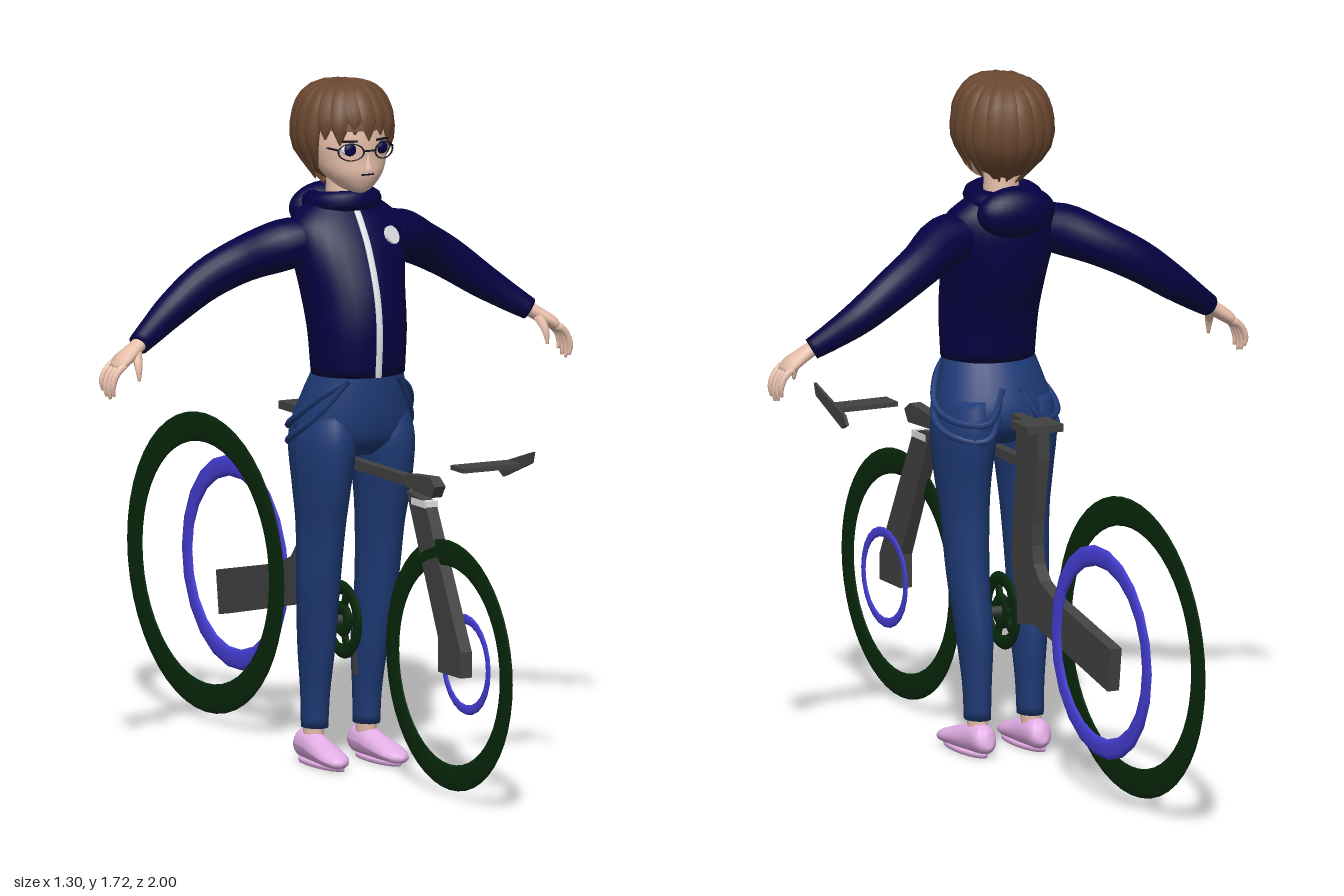
import * as THREE from 'three';

const mat = (name, color) => Object.assign(new THREE.MeshStandardMaterial({ color }), { name });
const V = (x, y, z) => new THREE.Vector3(x, y, z);
const Z = V(0, 0, 1);

// Smooth tube through sections [x, y, z, radiusAcross, radiusDeep]; level keeps the rings horizontal
function loft(secs, { sides = 20, steps = 4, level = false } = {}) {
  const path = new THREE.CatmullRomCurve3(secs.map(s => V(s[0], s[1], s[2])), false, 'catmullrom', 0.5);
  const size = new THREE.CatmullRomCurve3(secs.map(s => V(s[3], s[4] ?? s[3], 0)), false, 'catmullrom', 0.5);
  const n = (secs.length - 1) * steps, pos = [], idx = [], w = sides + 1;
  const up = Math.sign(secs[secs.length - 1][1] - secs[0][1]);
  const ring = (p, v, u, a, b) => {
    for (let j = 0; j <= sides; j++) {
      const th = j / sides * Math.PI * 2;
      const q = p.clone().addScaledVector(v, a * Math.cos(th)).addScaledVector(u, b * Math.sin(th));
      pos.push(q.x, q.y, q.z);
    }
  };
  for (let i = 0; i <= n; i++) {
    const p = path.getPoint(i / n), r = size.getPoint(i / n);
    const t = level ? V(0, up, 0) : path.getTangent(i / n);
    const v = t.clone().cross(Z).normalize(), u = v.clone().cross(t);
    const a = Math.max(r.x, 0.001), b = Math.max(r.y, 0.001);
    if (i === 0) ring(p, v, u, 0, 0);
    ring(p, v, u, a, b);
    if (i === n) ring(p, v, u, 0, 0);
  }
  for (let i = 0; i < n + 2; i++) for (let j = 0; j < sides; j++) {
    const a = i * w + j;
    idx.push(a, a + w, a + 1, a + 1, a + w, a + w + 1);
  }
  const g = new THREE.BufferGeometry();
  g.setAttribute('position', new THREE.Float32BufferAttribute(pos, 3));
  g.setIndex(idx);
  g.computeVertexNormals();
  return g;
}

// Side outline [z, y] given a width in x
function plate(pts, width, cx = 0) {
  const g = new THREE.ExtrudeGeometry(new THREE.Shape(pts.map(p => new THREE.Vector2(...p))), { depth: width, bevelEnabled: false });
  return g.rotateY(-Math.PI / 2).translate(cx + width / 2, 0, 0);
}

// Flattened ring facing sideways; squash lowers its height
const wheel = (outer, inner, thick, x, y, z, squash = 1, segs = 48, sides = 10) =>
  new THREE.TorusGeometry((outer + inner) / 2, (outer - inner) / 2, sides, segs)
    .scale(1, squash, thick / (outer - inner)).rotateY(Math.PI / 2).translate(x, y, z);

const ball = (x, y, z, rx, ry, rz) => new THREE.SphereGeometry(1, 24, 16).scale(rx, ry, rz).translate(x, y, z);

export function createModel() {
  const M = {
    jacket: mat('navy jacket', 0x040142), pants: mat('denim blue', 0x1e3a76), hair: mat('brown hair', 0x6b4830),
    skin: mat('skin', 0xe8c0ac), shoe: mat('pink shoe', 0xe3aee6), frame: mat('grey frame', 0x424242),
    tyre: mat('dark green tyre', 0x08290b), rim: mat('blue rim', 0x4840dc), white: mat('white trim', 0xe4e4ea),
    dark: mat('dark detail', 0x17141f),
  };
  const model = new THREE.Group(), rider = new THREE.Group(), bike = new THREE.Group();
  rider.name = 'rider'; bike.name = 'bicycle';
  model.add(rider, bike);
  const add = (group, name, geo, m) => {
    const mesh = new THREE.Mesh(geo, m);
    mesh.name = name;
    group.add(mesh);
    return mesh;
  };

  // Wheels and loose rims
  add(bike, 'frontTyre', wheel(0.33, 0.262, 0.009, -0.012, 0.329, 0.67, 0.95), M.tyre);
  add(bike, 'rearTyre', wheel(0.41, 0.33, 0.006, -0.02, 0.396, -0.585, 0.915), M.tyre);
  add(bike, 'frontRim', wheel(0.129, 0.104, 0.007, 0.037, 0.326, 0.665, 0.98, 24, 6), M.rim);
  add(bike, 'rearRim', wheel(0.278, 0.224, 0.012, 0.06, 0.39, -0.58, 0.965, 22, 6), M.rim);

  // Frame
  add(bike, 'fork', plate([[0.735, 0.305], [0.618, 0.305], [0.618, 0.39], [0.452, 0.735], [0.548, 0.72], [0.735, 0.37]], 0.032), M.frame);
  add(bike, 'forkCap', plate([[0.555, 0.705], [0.48, 0.705], [0.48, 0.722], [0.555, 0.722]], 0.036), M.white);
  add(bike, 'headTube', plate([[0.6, 0.765], [0.58, 0.735], [0.45, 0.742], [0.45, 0.775], [0.57, 0.785]], 0.03), M.frame);
  add(bike, 'topBar', plate([[0.47, 0.745], [-0.06, 0.745], [-0.06, 0.77], [0.47, 0.77]], 0.026), M.frame);
  add(bike, 'seatPostAndStay', plate([[-0.02, 0.86], [-0.02, 0.74], [0.0, 0.6], [0.006, 0.53], [0.0, 0.47], [-0.025, 0.42], [-0.065, 0.385],
    [-0.13, 0.36], [-0.525, 0.275], [-0.54, 0.385], [-0.22, 0.45], [-0.15, 0.478], [-0.118, 0.515], [-0.108, 0.56], [-0.112, 0.62],
    [-0.14, 0.78], [-0.14, 0.86]], 0.032), M.frame);
  add(bike, 'bottomBracketArm', plate([[-0.02, 0.345], [-0.14, 0.365], [-0.1, 0.42], [-0.02, 0.425]], 0.028), M.frame);
  add(bike, 'saddle', plate([[0.01, 0.858], [-0.15, 0.858], [-0.15, 0.872], [0.01, 0.872]], 0.03), M.frame);
  add(bike, 'saddleBack', plate([[-0.06, 0.852], [-0.15, 0.852], [-0.15, 0.872], [-0.06, 0.872]], 0.1), M.frame);

  // Detached handlebar stub and its grip
  add(bike, 'handlebar', new THREE.BoxGeometry(0.165, 0.012, 0.065).translate(0.152, 0.797, 0.558), M.frame);
  add(bike, 'grip', plate([[0.655, 0.842], [0.645, 0.812], [0.5, 0.757], [0.475, 0.77], [0.49, 0.792]], 0.008, 0.234), M.frame);

  // Chainring and crank
  add(bike, 'chainring', wheel(0.098, 0.062, 0.016, 0.0, 0.355, 0.09, 1, 32, 8), M.tyre);
  add(bike, 'chainringHub', wheel(0.046, 0.012, 0.02, 0.0, 0.355, 0.09, 1, 20, 6), M.tyre);
  for (let i = 0; i < 5; i++)
    add(bike, 'chainringSpoke', new THREE.BoxGeometry(0.01, 0.055, 0.02).translate(0, 0.05, 0)
      .rotateX(i * Math.PI * 0.4 + 0.3).translate(0, 0.355, 0.09), M.tyre);
  add(bike, 'crankAxle', new THREE.CylinderGeometry(0.012, 0.012, 0.076, 12).rotateZ(Math.PI / 2).translate(0.002, 0.355, 0.09), M.frame);
  add(bike, 'crankArm', new THREE.BoxGeometry(0.008, 0.15, 0.02).translate(0.038, 0.288, 0.09), M.frame);

  // Jacket body, zip and badge
  const torso = [[0, 0.99, 0.17, 0.119, 0.108], [0, 1.1, 0.165, 0.125, 0.12], [0, 1.2, 0.14, 0.132, 0.13], [0, 1.3, 0.115, 0.15, 0.115],
    [0, 1.36, 0.1, 0.148, 0.092], [0, 1.4, 0.09, 0.108, 0.07], [0, 1.425, 0.085, 0.065, 0.055]];
  add(rider, 'jacketBody', loft(torso, { sides: 28, level: true }), M.jacket);
  add(rider, 'zip', loft(torso.map(([x, y, z, , d]) => [x, y, z + d, 0.009, 0.003]), { sides: 8, level: true }), M.white);
  const badge = add(rider, 'badge', new THREE.CylinderGeometry(0.024, 0.024, 0.008, 12), M.white);
  badge.position.set(0.08, 1.33, 0.199);
  badge.quaternion.setFromUnitVectors(V(0, 1, 0), V(3.5, 4, 7.7).normalize());
  add(rider, 'collar', new THREE.TorusGeometry(0.074, 0.026, 10, 28).rotateX(Math.PI / 2 - 0.1).translate(0, 1.41, 0.085), M.jacket);
  add(rider, 'hood', ball(0, 1.382, 0.012, 0.105, 0.065, 0.053), M.jacket);

  // Pelvis
  add(rider, 'trouserSeat', loft([[0, 1.01, 0.17, 0.112, 0.095], [0, 0.94, 0.152, 0.134, 0.115], [0, 0.87, 0.137, 0.152, 0.125],
    [0, 0.82, 0.135, 0.14, 0.11], [0, 0.785, 0.135, 0.07, 0.07]], { sides: 28, level: true }), M.pants);

  for (const s of [1, -1]) {
    const side = s > 0 ? 'left' : 'right';
    const mirror = pts => pts.map(p => [s * p[0], ...p.slice(1)]);
    // Leg
    add(rider, side + 'Leg', loft(mirror([[0.078, 0.9, 0.135, 0.06, 0.1], [0.082, 0.82, 0.137, 0.074, 0.117], [0.085, 0.7, 0.138, 0.064, 0.098],
      [0.083, 0.6, 0.13, 0.056, 0.079], [0.082, 0.45, 0.115, 0.05, 0.068], [0.075, 0.3, 0.093, 0.042, 0.063],
      [0.073, 0.18, 0.083, 0.034, 0.047], [0.073, 0.09, 0.08, 0.032, 0.04]]), { level: true }), M.pants);
    add(rider, side + 'Ankle', loft([[s * 0.075, 0.04, 0.075, 0.024, 0.03], [s * 0.073, 0.11, 0.078, 0.025, 0.031]], { level: true }), M.skin);
    // Shoe, lofted heel to toe and laid flat, on its sole
    add(rider, side + 'Shoe', loft([[0.076, 0.05, 0.012, 0.012, 0.02], [0.076, 0.045, 0.03, 0.03, 0.036], [0.077, 0.043, 0.08, 0.034, 0.038],
      [0.08, 0.034, 0.14, 0.037, 0.03], [0.083, 0.026, 0.2, 0.037, 0.021], [0.085, 0.02, 0.235, 0.024, 0.014], [0.085, 0.018, 0.247, 0.004, 0.004]]
      .map(([x, y, z, a, b]) => [s * x, -z, y, a, b])).rotateX(-Math.PI / 2), M.shoe);
    add(rider, side + 'Sole', loft([[0, 0, 0, 0.031, 0.105], [0, 0.012, 0, 0.032, 0.108]], { steps: 1, level: true }).translate(s * 0.08, 0, 0.13), M.shoe);
    // Hanging braces, high in front and low behind
    for (const drop of [0, 0.04]) {
      const path = new THREE.CatmullRomCurve3([V(s * 0.07, 0.985, 0.25), V(s * 0.125, 0.94 - drop, 0.205), V(s * 0.16, 0.88 - drop, 0.135),
        V(s * 0.135, 0.85 - drop, 0.06), V(s * 0.07, 0.85 - drop, 0.018), V(s * 0.025, 0.93, 0.037)]);
      add(rider, side + 'Brace', new THREE.TubeGeometry(path, 28, 0.009, 6), M.pants);
    }
    // Sleeve
    add(rider, side + 'Sleeve', loft(mirror([[0.07, 1.325, 0.1, 0.05, 0.06], [0.16, 1.309, 0.085, 0.064, 0.064], [0.25, 1.271, 0.035, 0.057, 0.053],
      [0.34, 1.223, 0.01, 0.052, 0.046], [0.43, 1.162, 0.01, 0.044, 0.041], [0.5, 1.115, 0.028, 0.035, 0.032], [0.55, 1.083, 0.045, 0.028, 0.026]])), M.jacket);
    // Hand with fingers and thumb
    add(rider, side + 'Palm', loft(mirror([[0.53, 1.097, 0.042, 0.018, 0.02], [0.565, 1.073, 0.05, 0.018, 0.026], [0.6, 1.05, 0.055, 0.017, 0.036],
      [0.622, 1.03, 0.056, 0.01, 0.032]]), { sides: 14 }), M.skin);
    for (let i = 0; i < 4; i++) {
      const z = 0.028 + i * 0.019, len = [0.8, 0.95, 1, 0.9][i];
      add(rider, side + 'Finger', loft(mirror([[0.61, 1.042, z, 0.01], [0.633, 1.042 - 0.025 * len, z, 0.009],
        [0.643, 1.042 - 0.058 * len, z, 0.008], [0.64, 1.042 - 0.085 * len, z, 0.004]]), { sides: 8, steps: 3 }), M.skin);
    }
    add(rider, side + 'Thumb', loft(mirror([[0.565, 1.065, 0.065, 0.013], [0.572, 1.035, 0.088, 0.01], [0.574, 1.0, 0.095, 0.004]]), { sides: 8 }), M.skin);
    // Eye and brow
    add(rider, side + 'EyeWhite', ball(s * 0.044, 1.555, 0.207, 0.022, 0.014, 0.01), M.white);
    add(rider, side + 'Iris', ball(s * 0.044, 1.556, 0.212, 0.017, 0.016, 0.009), M.jacket);
    add(rider, side + 'Brow', new THREE.BoxGeometry(0.04, 0.005, 0.006).rotateY(s * 0.35).translate(s * 0.045, 1.577, 0.213), M.dark);
    // Glasses
    add(rider, side + 'LensFrame', new THREE.TorusGeometry(0.032, 0.0022, 6, 24).scale(1, 0.66, 1).rotateY(s * 0.35).translate(s * 0.046, 1.551, 0.221), M.dark);
    add(rider, side + 'GlassesArm', new THREE.BoxGeometry(0.004, 0.004, 0.12).rotateY(s * -0.14).translate(s * 0.086, 1.557, 0.15), M.dark);
  }
  add(rider, 'glassesBridge', new THREE.BoxGeometry(0.032, 0.004, 0.004).translate(0, 1.553, 0.231), M.dark);

  // Neck, face, nose and mouth
  add(rider, 'neck', new THREE.CylinderGeometry(0.042, 0.046, 0.12, 18).translate(0, 1.44, 0.095), M.skin);
  add(rider, 'face', loft([[0, 1.442, 0.175, 0.014, 0.018], [0, 1.455, 0.158, 0.042, 0.05], [0, 1.49, 0.138, 0.076, 0.084], [0, 1.53, 0.13, 0.09, 0.091],
    [0, 1.58, 0.122, 0.096, 0.1], [0, 1.64, 0.11, 0.088, 0.1], [0, 1.68, 0.1, 0.05, 0.06]], { sides: 28, level: true }), M.skin);
  add(rider, 'nose', new THREE.ConeGeometry(0.012, 0.04, 8).translate(0, 1.527, 0.226), M.skin);
  add(rider, 'mouth', new THREE.BoxGeometry(0.034, 0.004, 0.006).translate(0, 1.492, 0.22), M.dark);

  // Hair: rounded base covered with tapering locks from the crown
  add(rider, 'hairBase', ball(0, 1.583, 0.072, 0.112, 0.124, 0.115), M.hair);
  add(rider, 'hairTop', new THREE.SphereGeometry(1, 28, 10, 0, Math.PI * 2, 0, Math.PI * 0.46).scale(0.117, 0.122, 0.14).translate(0, 1.588, 0.095), M.hair);
  const locks = 20;
  for (let i = 0; i < locks; i++) {
    const th = i / locks * Math.PI * 2, front = Math.cos(th);
    const hem = (front > 0.55 ? 1.578 : front > -0.2 ? 1.49 : 1.452) + 0.016 * Math.sin(i * 2.4);
    const reach = Math.hypot(0.116 * Math.sin(th), 0.136 * front);
    // Each lock is built facing front, then turned into place
    const secs = [0, 0.2, 0.45, 0.75, 1].map((t, k) => {
      const y = 1.71 + (hem - 1.71) * t ** 1.5, h = (y - 1.59) / 0.128;
      const r = k === 0 ? 0.06 : Math.sqrt(1 - h * h * (h < 0 ? 0.7 : 1));
      return [0, y, reach * r, [0.008, 0.02, 0.027, 0.023, 0.002][k], [0.006, 0.012, 0.013, 0.011, 0.002][k]];
    });
    add(rider, 'hairLock', loft(secs, { sides: 8, steps: 3 }).rotateY(Math.atan2(0.116 * Math.sin(th), 0.136 * front)).translate(0, 0, 0.093), M.hair);
  }
  return model;
}
